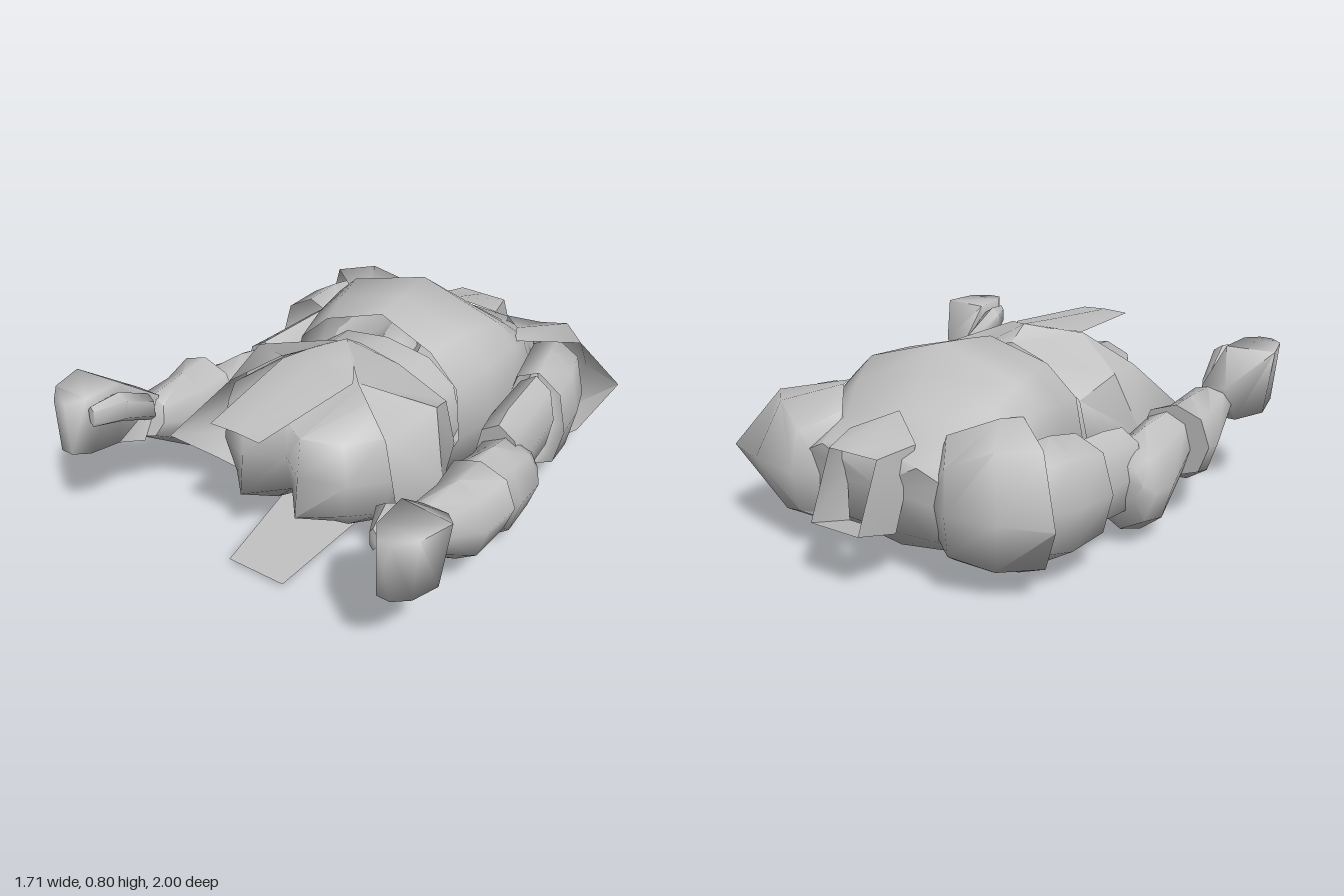
import * as THREE from 'three';
import { toCreasedNormals } from 'three/addons/utils/BufferGeometryUtils.js';

const steel = new THREE.MeshStandardMaterial({ color: 0xc0c0c0, side: THREE.DoubleSide });
steel.name = 'grey armour';

// Skins rows of [x, y, z] points, listed from the foot end to the head end.
function loft(name, rows, { closed = true, capStart = false, capEnd = false, side = 1, crease = 1.15 } = {}) {
  const pos = [];
  const tri = (a, b, c) => {
    for (const p of side > 0 ? [a, b, c] : [a, c, b]) pos.push(p[0] * side, p[1], p[2]);
  };
  const n = rows[0].length;
  for (let i = 0; i < rows.length - 1; i++) {
    for (let j = 0; j < (closed ? n : n - 1); j++) {
      const k = (j + 1) % n;
      const a = rows[i][j], b = rows[i][k], c = rows[i + 1][k], d = rows[i + 1][j];
      tri(a, b, c);
      tri(a, c, d);
    }
  }
  const cap = (row, flip) => {
    const mid = [0, 1, 2].map((q) => row.reduce((s, p) => s + p[q], 0) / n);
    row.forEach((p, j) => (flip ? tri(mid, p, row[(j + 1) % n]) : tri(mid, row[(j + 1) % n], p)));
  };
  if (capStart) cap(rows[0], false);
  if (capEnd) cap(rows[rows.length - 1], true);
  const geo = new THREE.BufferGeometry();
  geo.setAttribute('position', new THREE.Float32BufferAttribute(pos, 3));
  const mesh = new THREE.Mesh(toCreasedNormals(geo, crease), steel);
  mesh.name = name;
  return mesh;
}

const flipX = ([x, y, z]) => [-x, y, z];
// Completes a half section (front middle to back middle) by mirroring it.
const whole = (half) => [...half, ...half.slice(1, -1).reverse().map(flipX)];
// Half section at one depth.
const at = (z, pts) => whole(pts.map(([x, y]) => [x, y, z]));
// Open strip from the left edge over the middle to the right edge.
const strip = (half) => [...half.slice(1).reverse(), ...half.map(flipX)];

// Oval section; tilt shifts its upper edge along z, power above 1 makes it pointed.
function oval(cx, cy, z, rx, ry, tilt = 0, tiltX = 0, power = 0.9, sides = 8) {
  const shape = (v) => Math.sign(v) * Math.pow(Math.abs(v), power);
  return Array.from({ length: sides }, (_, i) => {
    const t = (i / sides) * Math.PI * 2;
    const s = shape(Math.sin(t)), c = shape(Math.cos(t));
    return [cx + rx * s, cy + ry * c, z + tilt * c + tiltX * s];
  });
}

function torso() {
  const g = new THREE.Group();
  g.name = 'torso';
  // Breastplate with a ridge down the middle
  g.add(loft('breastplate', [
    whole([[0, 0.76, -0.06], [0.25, 0.68, -0.03], [0.38, 0.56, -0.02], [0.41, 0.35, 0], [0.3, 0.12, 0], [0, 0.09, 0]]),
    at(-0.2, [[0, 0.78], [0.3, 0.7], [0.42, 0.59], [0.45, 0.35], [0.35, 0.09], [0, 0.07]]),
    at(-0.375, [[0, 0.8], [0.35, 0.695], [0.44, 0.61], [0.45, 0.35], [0.38, 0.06], [0, 0.045]]),
    at(-0.5, [[0, 0.7], [0.32, 0.625], [0.42, 0.56], [0.44, 0.35], [0.38, 0.05], [0, 0.04]]),
    at(-0.64, [[0, 0.585], [0.25, 0.55], [0.36, 0.5], [0.4, 0.35], [0.34, 0.12], [0, 0.07]]),
    whole([[0, 0.5, -0.75], [0.22, 0.48, -0.81], [0.32, 0.43, -0.79], [0.33, 0.33, -0.78], [0.26, 0.2, -0.77], [0, 0.17, -0.74]]),
  ], { capEnd: true }));
  // Open neck that widens into a pointed collar
  g.add(loft('neckCollar', [
    whole([[0, 0.6, -0.63], [0.155, 0.53, -0.73], [0.14, 0.38, -0.77], [0.11, 0.2, -0.8], [0, 0.2, -0.8]]),
    whole([[0, 0.51, -0.89], [0.11, 0.51, -0.89], [0.11, 0.385, -0.945], [0.11, 0.26, -1], [0, 0.26, -1]]),
  ], { crease: 0.6 }));
  g.add(loft('abdomen', [
    at(0.14, [[0, 0.62], [0.2, 0.6], [0.33, 0.5], [0.36, 0.35], [0.27, 0.12], [0, 0.1]]),
    at(-0.1, [[0, 0.64], [0.2, 0.61], [0.32, 0.52], [0.36, 0.35], [0.27, 0.12], [0, 0.1]]),
  ]));
  return g;
}

function hips() {
  const g = new THREE.Group();
  g.name = 'hips';
  // Pelvis with two upright lobes and a crease between, from its top over the front to its underside
  g.add(loft('pelvis', [
    strip([[0, 0.6, 0.1], [0.1, 0.61, 0.1], [0.22, 0.6, 0.1], [0.32, 0.56, 0.1], [0.36, 0.5, 0.1]]),
    strip([[0, 0.59, 0.57], [0.13, 0.605, 0.65], [0.27, 0.585, 0.58], [0.355, 0.575, 0.44], [0.37, 0.53, 0.1]]),
    strip([[0, 0.44, 0.58], [0.13, 0.45, 0.675], [0.29, 0.42, 0.59], [0.39, 0.4, 0.44], [0.39, 0.4, 0.1]]),
    strip([[0, 0.27, 0.55], [0.13, 0.28, 0.7], [0.26, 0.26, 0.57], [0.35, 0.23, 0.43], [0.37, 0.28, 0.1]]),
    strip([[0, 0.24, 0.46], [0.14, 0.125, 0.47], [0.2, 0.13, 0.46], [0.27, 0.15, 0.4], [0.35, 0.19, 0.1]]),
    strip([[0, 0.14, 0.34], [0.15, 0.075, 0.365], [0.22, 0.08, 0.34], [0.28, 0.12, 0.3], [0.32, 0.15, 0.1]]),
    strip([[0, 0.1, 0.1], [0.15, 0.1, 0.1], [0.24, 0.1, 0.1], [0.3, 0.12, 0.1], [0.31, 0.13, 0.1]]),
  ], { closed: false, crease: 1.5 }));
  // Flared belt
  g.add(loft('belt', [
    whole([[0, 0.76, 0.18], [0.18, 0.71, 0.36], [0.425, 0.61, 0.2], [0.51, 0.35, 0.28], [0.36, 0.09, 0.33], [0.18, 0.09, 0.32], [0, 0.09, 0.3]]),
    whole([[0, 0.7, 0.09], [0.17, 0.65, 0.07], [0.365, 0.53, 0.03], [0.41, 0.35, 0.03], [0.32, 0.13, 0.04], [0.15, 0.1, 0.04], [0, 0.1, 0.04]]),
  ], { crease: 0.8 }));
  // Hanging front flap with a faint middle fold
  g.add(loft('frontFlap', [
    [[-0.11, 0.69, 0.85], [0, 0.695, 0.85], [0.11, 0.69, 0.85]],
    [[-0.165, 0.71, 0.37], [0, 0.74, 0.37], [0.165, 0.71, 0.37]],
    [[-0.09, 0.735, 0.26], [0, 0.76, 0.18], [0.09, 0.735, 0.26]],
  ], { closed: false }));
  // Flat flap hanging behind
  g.add(loft('backFlap', [
    [[0.13, 0.025, 0.79], [-0.13, 0.025, 0.79]],
    [[0.19, 0.09, 0.29], [-0.19, 0.09, 0.29]],
  ], { closed: false }));
  // Pointed plates over each hip
  for (const side of [1, -1]) {
    g.add(loft(side > 0 ? 'leftHipPlate' : 'rightHipPlate', [
      [[0.18, 0.71, 0.36], [0.37, 0.58, 0.46], [0.55, 0.35, 0.63], [0.45, 0.2, 0.48], [0.35, 0.08, 0.37]],
      [[0.18, 0.71, 0.355], [0.425, 0.61, 0.2], [0.51, 0.35, 0.28], [0.45, 0.24, 0.3], [0.35, 0.09, 0.33]],
    ], { closed: false, side }));
  }
  return g;
}

function arm(side) {
  const g = new THREE.Group();
  g.name = side > 0 ? 'leftArm' : 'rightArm';
  const add = (name, rows, o = {}) => g.add(loft(name, rows, { side, ...o }));

  // Shoulder cap, pointed in front, behind and outward, tucked in toward the chest
  add('shoulderCap', [
    [[0.41, 0.6, -0.43], [0.62, 0.57, -0.62], [0.755, 0.35, -0.75], [0.64, 0.14, -0.63], [0.42, 0.005, -0.475]],
    [[0.37, 0.61, -0.52], [0.5, 0.575, -0.735], [0.57, 0.35, -0.82], [0.5, 0.13, -0.735], [0.38, 0.04, -0.54]],
    [[0.245, 0.565, -0.67], [0.34, 0.5, -0.81], [0.36, 0.34, -0.84], [0.35, 0.18, -0.81], [0.26, 0.08, -0.65]],
    [[0.24, 0.48, -0.67], [0.24, 0.42, -0.74], [0.24, 0.34, -0.76], [0.24, 0.22, -0.74], [0.24, 0.13, -0.62]],
  ], { closed: false, crease: 1.2 });
  add('sleeve', [
    oval(0.575, 0.33, -0.33, 0.145, 0.215, -0.01, 0.02),
    oval(0.55, 0.33, -0.48, 0.145, 0.24),
    oval(0.51, 0.34, -0.62, 0.14, 0.22),
    oval(0.47, 0.34, -0.73, 0.1, 0.14),
  ], { capEnd: true });
  add('upperArm', [
    oval(0.58, 0.3, -0.01, 0.1, 0.175),
    oval(0.56, 0.3, -0.12, 0.1, 0.185),
    oval(0.535, 0.31, -0.4, 0.095, 0.18),
  ], { capStart: true });
  // Elbow guard, lowest in the middle
  add('elbowGuard', [
    oval(0.625, 0.335, 0.28, 0.11, 0.135),
    oval(0.62, 0.24, 0.1, 0.135, 0.215, 0, 0, 1.15),
    oval(0.61, 0.25, -0.04, 0.145, 0.175, 0.01, 0, 1.05),
    oval(0.6, 0.29, -0.09, 0.12, 0.08),
  ], { capStart: true, capEnd: true });
  // Forearm guard flaring toward the elbow
  add('forearmGuard', [
    oval(0.645, 0.42, 0.65, 0.09, 0.075, -0.04),
    oval(0.657, 0.325, 0.42, 0.13, 0.18, 0, 0, 1.1),
    oval(0.663, 0.355, 0.275, 0.152, 0.15),
  ], { capStart: true, capEnd: true });
  // Curled hand, wider at the top
  add('hand', [
    [[0.7, 0.635, 1], [0.755, 0.635, 1], [0.755, 0.41, 1], [0.7, 0.41, 1]],
    [[0.655, 0.64, 0.93], [0.82, 0.64, 0.93], [0.795, 0.385, 0.93], [0.675, 0.385, 0.93]],
    [[0.645, 0.635, 0.77], [0.855, 0.635, 0.79], [0.815, 0.36, 0.8], [0.67, 0.36, 0.79]],
    [[0.62, 0.5, 0.6], [0.725, 0.5, 0.6], [0.735, 0.34, 0.7], [0.62, 0.34, 0.7]],
  ], { capStart: true, capEnd: true, crease: 1.7 });
  add('thumb', [
    oval(0.64, 0.565, 0.93, 0.015, 0.045, 0, 0, 0.8, 6),
    oval(0.61, 0.56, 0.81, 0.045, 0.065, 0, 0, 0.8, 6),
    oval(0.625, 0.47, 0.65, 0.03, 0.06, 0, 0, 0.8, 6),
  ], { capStart: true, capEnd: true });
  return g;
}

export function createModel() {
  const model = new THREE.Group();
  model.name = 'armouredTorso';
  model.add(torso(), hips(), arm(1), arm(-1));
  return model;
}
